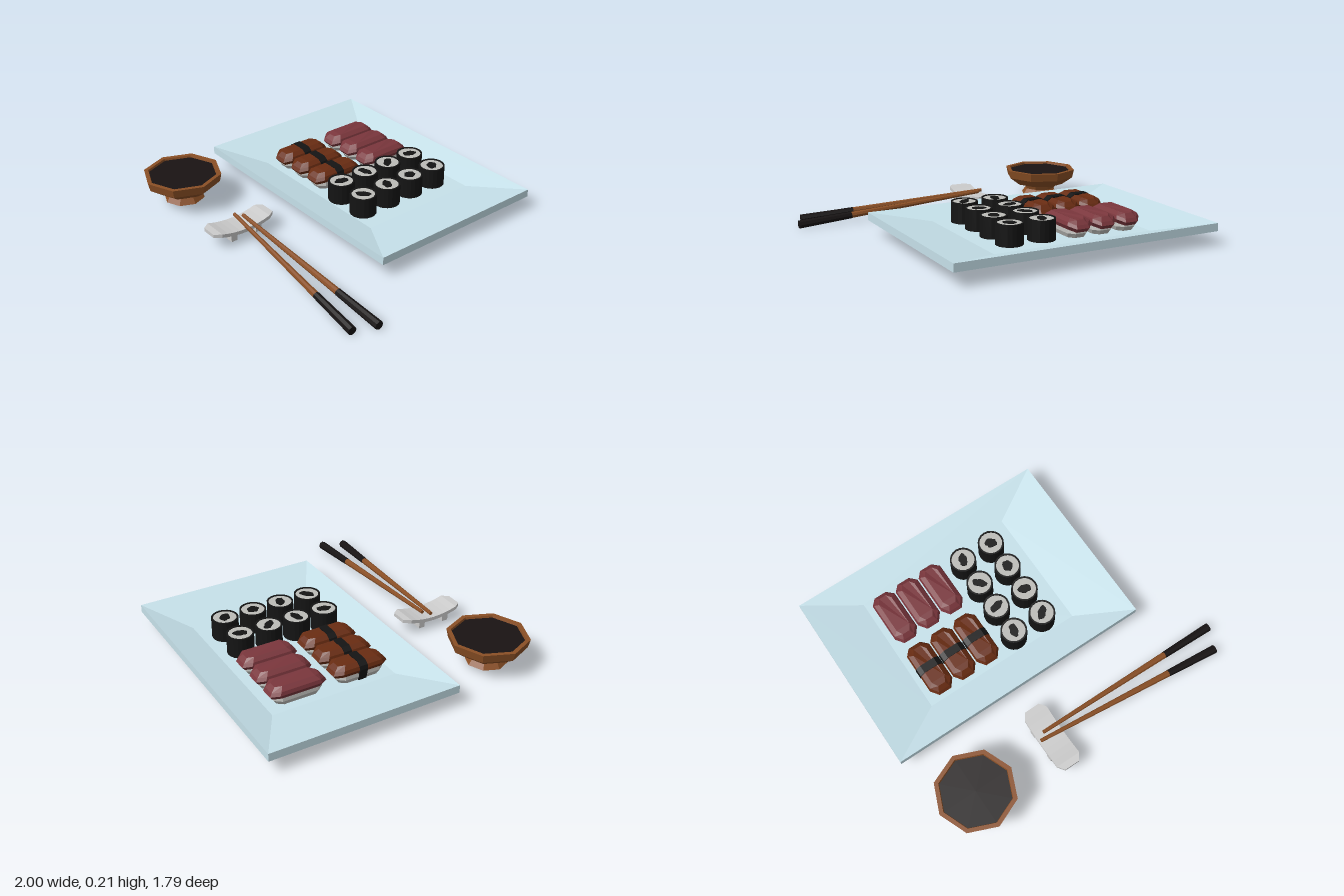
import * as THREE from 'three';

const mat = (color, side = THREE.FrontSide) =>
  new THREE.MeshStandardMaterial({ color, flatShading: true, side });
const M = {
  plate: mat(0xc6e1ea), rice: mat(0xbcbcb8), nori: mat(0x141414), tuna: mat(0x7a363c),
  eel: mat(0x692c12), wood: mat(0x8a4f25), woodOpen: mat(0x8a4f25, THREE.DoubleSide),
  sauce: mat(0x1a1313), lacquer: mat(0x161212), grey: mat(0xcccccc),
};

function add(parent, name, geometry, material, x = 0, y = 0, z = 0) {
  const mesh = new THREE.Mesh(geometry, material);
  mesh.name = name;
  mesh.position.set(x, y, z);
  parent.add(mesh);
  return mesh;
}

// Skins plan-view rings (counterclockwise from above), closing both ends
function loft(rings) {
  const pos = [], n = rings[0].length;
  const tri = (...pts) => pts.forEach(p => pos.push(...p));
  for (let i = 0; i < rings.length - 1; i++) {
    for (let j = 0; j < n; j++) {
      const k = (j + 1) % n;
      const a = rings[i][j], b = rings[i][k], c = rings[i + 1][k], d = rings[i + 1][j];
      tri(a, b, c);
      tri(a, c, d);
    }
  }
  const first = rings[0], last = rings[rings.length - 1];
  for (let j = 1; j < n - 1; j++) {
    tri(first[0], first[j + 1], first[j]);
    tri(last[0], last[j], last[j + 1]);
  }
  const g = new THREE.BufferGeometry();
  g.setAttribute('position', new THREE.Float32BufferAttribute(pos, 3));
  g.computeVertexNormals();
  return g;
}

const rect = (w, d, y) => [[w, y, d], [w, y, -d], [-w, y, -d], [-w, y, d]];

// Long octagon whose end points can droop below its middle
function longOctagon(w, l, y, droop = 0) {
  const e = w * 0.52, s = l * 0.74;
  return [[w, y, s], [w, y, -s], [e, y - droop, -l], [-e, y - droop, -l],
    [-w, y, -s], [-w, y, s], [-e, y - droop, l], [e, y - droop, l]];
}

function createNigiri(topping, banded) {
  const g = new THREE.Group();
  g.name = 'nigiri';
  add(g, 'riceBed', loft([longOctagon(0.055, 0.13, 0.088), longOctagon(0.066, 0.148, 0.115),
    longOctagon(0.06, 0.14, 0.155)]), M.rice);
  add(g, 'topping', loft([longOctagon(0.064, 0.155, 0.137, 0.012),
    longOctagon(0.077, 0.172, 0.162, 0.015), longOctagon(0.07, 0.16, 0.182, 0.015),
    longOctagon(0.044, 0.135, 0.2, 0.008)]), topping);
  if (banded) {
    const s = new THREE.Shape([[-0.064, 0.089], [0.064, 0.089], [0.08, 0.16], [0.074, 0.184],
      [0.046, 0.204], [-0.046, 0.204], [-0.074, 0.184], [-0.08, 0.16]]
      .map(p => new THREE.Vector2(...p)));
    add(g, 'seaweedBand', new THREE.ExtrudeGeometry(s, { depth: 0.05, bevelEnabled: false }),
      M.nori, 0, 0, -0.025);
  }
  return g;
}

function createRoll(seed) {
  const g = new THREE.Group();
  g.name = 'roll';
  // Seaweed wall with a thin raised lip
  const wall = [[0, 0], [0.08, 0], [0.08, 0.125], [0.07, 0.125], [0.07, 0.117]]
    .map(p => new THREE.Vector2(...p));
  add(g, 'seaweedWrap', new THREE.LatheGeometry(wall, 20), M.nori);
  add(g, 'rice', new THREE.CylinderGeometry(0.071, 0.071, 0.11, 20), M.rice, 0, 0.065, 0);
  // Irregular filling
  const pts = [];
  for (let i = 0; i < 14; i++) {
    const a = i / 14 * Math.PI * 2;
    const r = 1 + 0.18 * Math.sin(2 * a + seed) + 0.1 * Math.sin(5 * a + seed * 3);
    pts.push(new THREE.Vector2(Math.cos(a) * 0.04 * r, Math.sin(a) * 0.027 * r));
  }
  const fill = new THREE.ExtrudeGeometry(new THREE.Shape(pts), { depth: 0.02, bevelEnabled: false });
  fill.rotateX(-Math.PI / 2);
  add(g, 'filling', fill, M.nori, 0, 0.104, 0).rotation.y = 0.9 + seed * 1.3;
  return g;
}

function createBowl() {
  const g = new THREE.Group();
  g.name = 'sauceBowl';
  const profile = [[0.085, 0.045], [0.1, 0.03], [0.125, 0.03], [0.1, 0.065], [0.11, 0.09],
    [0.16, 0.098], [0.228, 0.148], [0.24, 0.2], [0.214, 0.2], [0.205, 0.165]]
    .map(p => new THREE.Vector2(...p));
  add(g, 'bowl', new THREE.LatheGeometry(profile, 8), M.woodOpen);
  add(g, 'sauce', new THREE.CylinderGeometry(0.21, 0.2, 0.02, 8), M.sauce, 0, 0.178, 0);
  add(g, 'footBase', new THREE.CylinderGeometry(0.09, 0.09, 0.02, 8), M.sauce, 0, 0.05, 0);
  return g;
}

function createRest() {
  const g = new THREE.Group();
  g.name = 'chopstickRest';
  // Sagging slab with narrowed ends
  const slab = new THREE.BoxGeometry(0.155, 0.022, 0.41, 1, 1, 10);
  const p = slab.attributes.position;
  for (let i = 0; i < p.count; i++) {
    const t = Math.abs(p.getZ(i)) / 0.205;
    p.setY(i, p.getY(i) + 0.025 * Math.min(t / 0.8, 1) ** 2);
    if (t > 0.99) p.setX(i, p.getX(i) * 0.62);
  }
  slab.computeVertexNormals();
  add(g, 'slab', slab, M.grey, 0, 0.072, 0);
  for (const s of [-1, 1]) add(g, 'foot', new THREE.BoxGeometry(0.155, 0.046, 0.04), M.grey, 0, 0.056, s * 0.085);
  return g;
}

function createChopstick(from, to) {
  const g = new THREE.Group();
  g.name = 'chopstick';
  const a = new THREE.Vector3(...from), b = new THREE.Vector3(...to);
  const length = a.distanceTo(b), split = length * 0.725;
  const piece = (name, r0, r1, start, end, material) => {
    const geo = new THREE.CylinderGeometry(r1, r0, end - start, 8);
    add(g, name, geo, material, 0, (start + end) / 2, 0);
  };
  piece('shaft', 0.011, 0.02, 0, split, M.wood);
  piece('handle', 0.021, 0.026, split, length, M.lacquer);
  g.position.copy(a);
  g.quaternion.setFromUnitVectors(new THREE.Vector3(0, 1, 0), b.sub(a).normalize());
  return g;
}

export function createModel() {
  const model = new THREE.Group();
  model.name = 'sushiSet';

  // Shallow rectangular plate
  add(model, 'plate', loft([rect(0.505, 0.39, 0.038), rect(0.835, 0.58, 0.09),
    rect(0.835, 0.58, 0.138), rect(0.505, 0.385, 0.088)]), M.plate, -0.165, 0, -0.32);

  // Two rows of three nigiri
  for (const x of [-0.56, -0.398, -0.235]) {
    const back = createNigiri(M.tuna, false), front = createNigiri(M.eel, true);
    back.position.set(x, 0, -0.508);
    front.position.set(x, 0, -0.12);
    model.add(back, front);
  }

  // Two columns of four rolls
  [-0.03, 0.172].forEach((x, i) => [-0.57, -0.387, -0.205, -0.02].forEach((z, j) => {
    const roll = createRoll(i * 4 + j);
    roll.position.set(x, 0.088, z);
    model.add(roll);
  }));

  const bowl = createBowl();
  bowl.position.set(-0.74, 0, 0.65);
  const rest = createRest();
  rest.position.set(-0.193, 0, 0.615);
  model.add(bowl, rest,
    createChopstick([-0.22, 0.106, 0.566], [0.998, 0.03, 0.572]),
    createChopstick([-0.26, 0.106, 0.6], [0.945, 0.03, 0.706]));
  return model;
}
